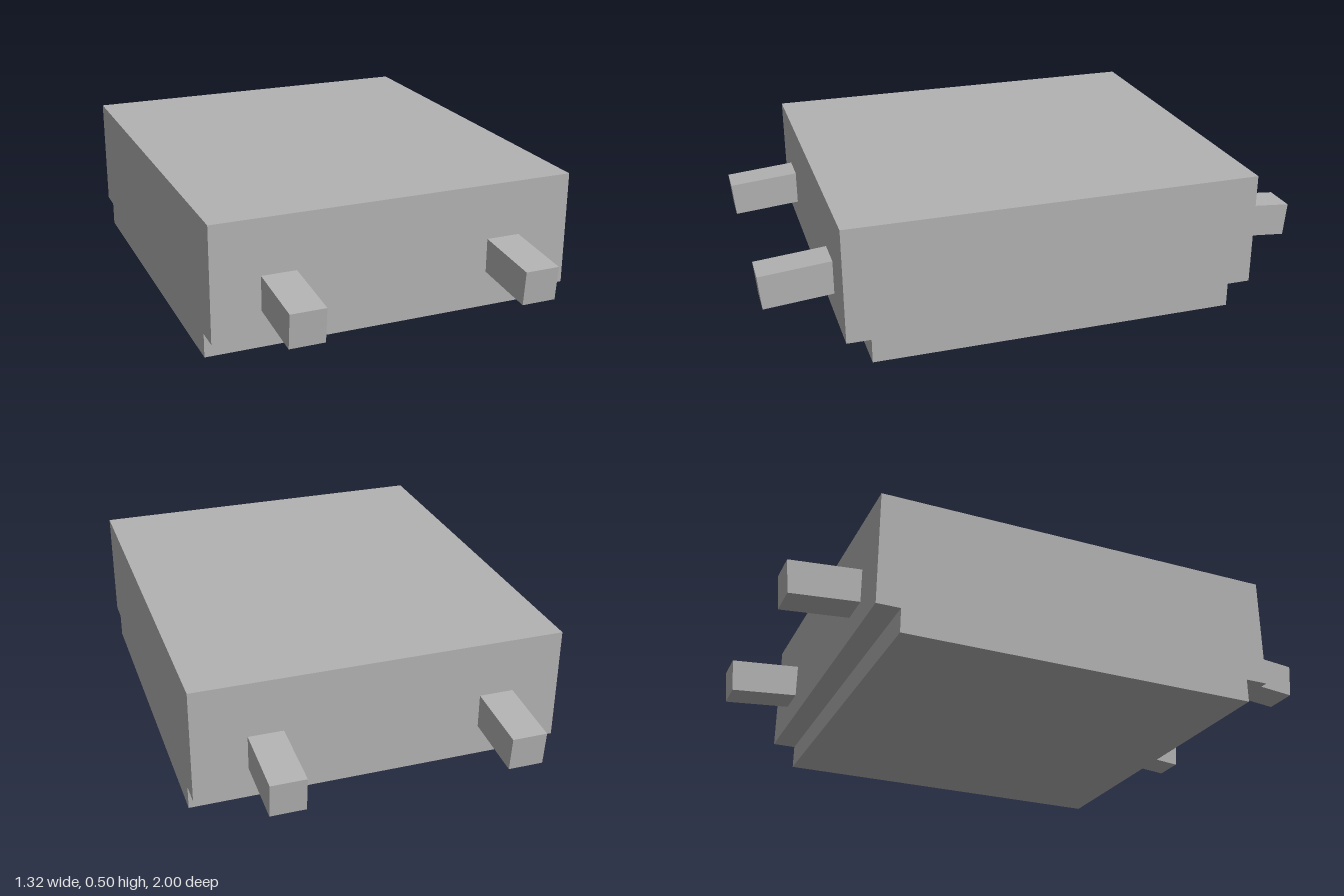
import * as THREE from 'three';

export function createModel() {
  const model = new THREE.Group();
  model.name = 'steppedBlockWithPegs';
  const grey = new THREE.MeshStandardMaterial({ color: 0xb2b2b2 });
  grey.name = 'plain grey';

  // Body: side profile with a notch along the lower front and back edges
  const width = 1.32, top = 0.5, step = 0.087, outer = 0.745, inner = 0.66;
  const profile = new THREE.Shape([
    [-inner, 0], [inner, 0], [inner, step], [outer, step],
    [outer, top], [-outer, top], [-outer, step], [-inner, step],
  ].map(([z, y]) => new THREE.Vector2(z, y)));
  const bodyGeometry = new THREE.ExtrudeGeometry(profile, { depth: width, bevelEnabled: false });
  bodyGeometry.translate(0, 0, -width / 2).rotateY(-Math.PI / 2);
  const body = new THREE.Mesh(bodyGeometry, grey);
  body.name = 'body';
  model.add(body);

  // Square pegs, sloping gently down away from the body at both ends
  const length = 0.3, tilt = THREE.MathUtils.degToRad(5);
  const pegGeometry = new THREE.BoxGeometry(0.124, 0.123, length);
  for (const [end, side] of [['front', 1], ['back', -1]]) {
    for (const x of [-0.425, 0.406]) {
      const peg = new THREE.Mesh(pegGeometry, grey);
      peg.name = `${end}${x > 0 ? 'Left' : 'Right'}Peg`;
      peg.position.set(x, 0.217 + Math.sin(tilt) * length / 2, side * (0.995 - Math.cos(tilt) * length / 2));
      peg.rotation.x = side * tilt;
      model.add(peg);
    }
  }
  return model;
}
